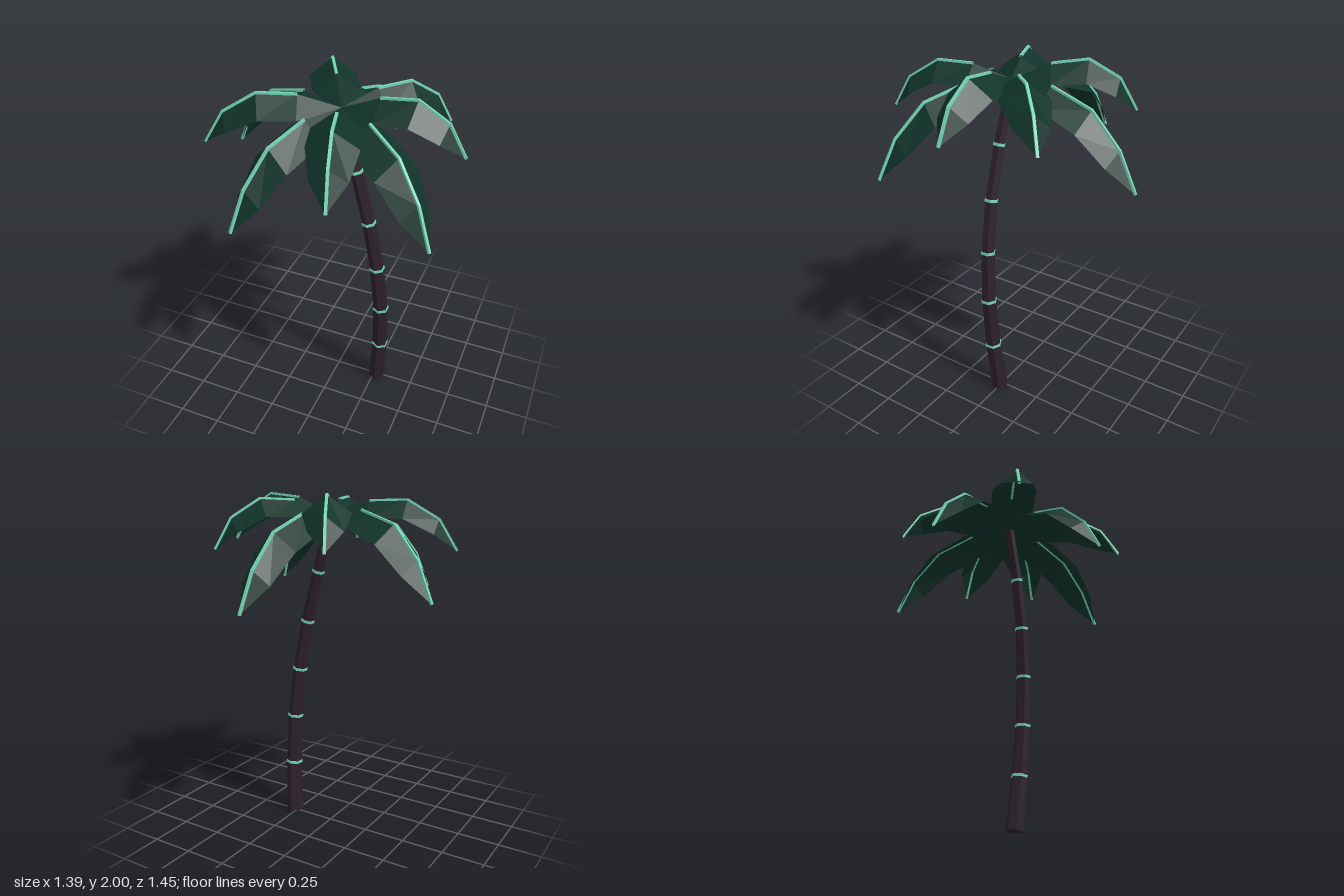
import * as THREE from 'three';

const mat = (name, color) => {
  const m = new THREE.MeshStandardMaterial({ color, flatShading: true, side: THREE.DoubleSide });
  m.name = name;
  return m;
};

// Trunk stations: x, y, z, radius
const TRUNK = [
  [0.27, 0.005, 0.005, 0.053], [0.29, 0.32, 0.032, 0.046], [0.292, 0.625, 0.055, 0.044],
  [0.265, 0.93, 0.072, 0.041], [0.21, 1.235, 0.08, 0.037], [0.13, 1.54, 0.076, 0.033],
  [0.035, 1.86, 0.057, 0.029],
];
const CROWN = new THREE.Vector3(0.035, 1.88, 0.055);

// Frond tips: x, y, z, whether it droops
const FRONDS = [
  [0.085, 1.42, -0.72, true], [0.5, 1.69, -0.4, false], [0.69, 1.71, 0.03, false],
  [0.655, 1.425, 0.475, true], [0.23, 1.68, 0.715, false], [-0.305, 1.41, 0.67, true],
  [-0.63, 1.68, 0.31, false], [-0.69, 1.46, -0.155, true], [-0.29, 1.725, -0.53, false],
];
// Spine heights at each station
const SPINE_HIGH = [1.88, 1.948, 1.954, 1.85, 1.68];
const SPINE_DROOP = [1.88, 1.885, 1.805, 1.63, 1.42];
const ALONG_HIGH = [0, 0.31, 0.605, 0.855, 1];
const ALONG_DROOP = [0, 0.33, 0.645, 0.865, 1];
const HALF_WIDTH = [0.015, 0.13, 0.13, 0.092, 0];
const EDGE_DROP = [0.01, 0.085, 0.095, 0.075, 0];
const EDGE_BACK = [0, 0, 0.015, 0.025, 0];

// Skin a list of equally sized cross-sections
function loft(sections, closed = false) {
  const n = sections[0].length, pos = [], idx = [];
  sections.forEach(s => s.forEach(p => pos.push(p.x, p.y, p.z)));
  for (let i = 0; i < sections.length - 1; i++) {
    for (let j = 0; j < (closed ? n : n - 1); j++) {
      const a = i * n + j, b = i * n + (j + 1) % n;
      idx.push(a, b, a + n, b, b + n, a + n);
    }
  }
  const g = new THREE.BufferGeometry();
  g.setAttribute('position', new THREE.Float32BufferAttribute(pos, 3));
  g.setIndex(idx);
  g.computeVertexNormals();
  return g;
}

const station = i => new THREE.Vector3(...TRUNK[i].slice(0, 3));
const UP = new THREE.Vector3(0, 1, 0);
function tilt(i) {
  const last = TRUNK.length - 1;
  const dir = station(Math.min(i + 1, last)).sub(station(Math.max(i - 1, 0))).normalize();
  return new THREE.Quaternion().setFromUnitVectors(UP, dir);
}

// Hexagonal column bent along the trunk stations
function trunkGeometry() {
  const g = new THREE.CylinderGeometry(1, 1, 1, 6, TRUNK.length - 1);
  const p = g.attributes.position, v = new THREE.Vector3();
  for (let k = 0; k < p.count; k++) {
    const i = Math.round((p.getY(k) + 0.5) * (TRUNK.length - 1));
    v.set(p.getX(k), 0, p.getZ(k)).multiplyScalar(TRUNK[i][3]).applyQuaternion(tilt(i)).add(station(i));
    p.setXYZ(k, v.x, Math.max(v.y, 0), v.z);
  }
  g.computeVertexNormals();
  return g;
}

function makeFrond([tx, ty, tz, droops], leafMat, ribMat) {
  const spine = droops ? SPINE_DROOP : SPINE_HIGH, along = droops ? ALONG_DROOP : ALONG_HIGH;
  const out = new THREE.Vector3(tx - CROWN.x, 0, tz - CROWN.z), length = out.length();
  out.normalize();
  const side = new THREE.Vector3(-out.z, 0, out.x);
  const lift = ty - spine[4];
  const at = (r, y, s) => new THREE.Vector3(CROWN.x, y, CROWN.z).addScaledVector(out, r).addScaledVector(side, s);
  const blade = [], rib = [];
  along.forEach((t, i) => {
    const r = t * length, y = spine[i] + lift * Math.min(1, t * 1.4);
    const er = r - EDGE_BACK[i], ey = y - EDGE_DROP[i], w = HALF_WIDTH[i];
    blade.push([at(er, ey, -w), at(r, y, 0), at(er, ey, w)]);
    if (i > 0) {
      // square rib riding the fold, perpendicular to the spine
      const slope = droops ? [0, 0.15, 0.6, 1, 1.1][i] : [0, 0.1, 0.3, 0.8, 1][i];
      const o = Math.sin(slope), u = Math.cos(slope);
      const c = (h, s) => at(r + o * h, y + u * h, s);
      rib.push([c(-0.005, -0.008), c(0.007, -0.007), c(0.007, 0.007), c(-0.005, 0.008)]);
    }
  });
  const frond = new THREE.Group();
  frond.name = 'frond';
  const leaf = new THREE.Mesh(loft(blade), leafMat);
  leaf.name = 'frondBlade';
  const midrib = new THREE.Mesh(loft(rib, true), ribMat);
  midrib.name = 'frondMidrib';
  frond.add(leaf, midrib);
  return frond;
}

export function createModel() {
  const bark = mat('dark bark', 0x2d2029);
  const leaf = mat('deep green', 0x103329);
  const mint = mat('mint trim', 0x74d4b4);
  const tree = new THREE.Group();
  tree.name = 'palmTree';

  const trunk = new THREE.Mesh(trunkGeometry(), bark);
  trunk.name = 'trunk';
  tree.add(trunk);

  // Bands at the trunk joints
  for (let i = 1; i < TRUNK.length - 1; i++) {
    const r = TRUNK[i][3] + 0.004;
    const band = new THREE.Mesh(new THREE.CylinderGeometry(r, r, 0.016, 6), mint);
    band.name = 'trunkBand';
    band.position.copy(station(i));
    band.quaternion.copy(tilt(i));
    tree.add(band);
  }

  const crown = new THREE.Group();
  crown.name = 'crown';
  FRONDS.forEach(f => crown.add(makeFrond(f, leaf, mint)));
  tree.add(crown);
  return tree;
}
